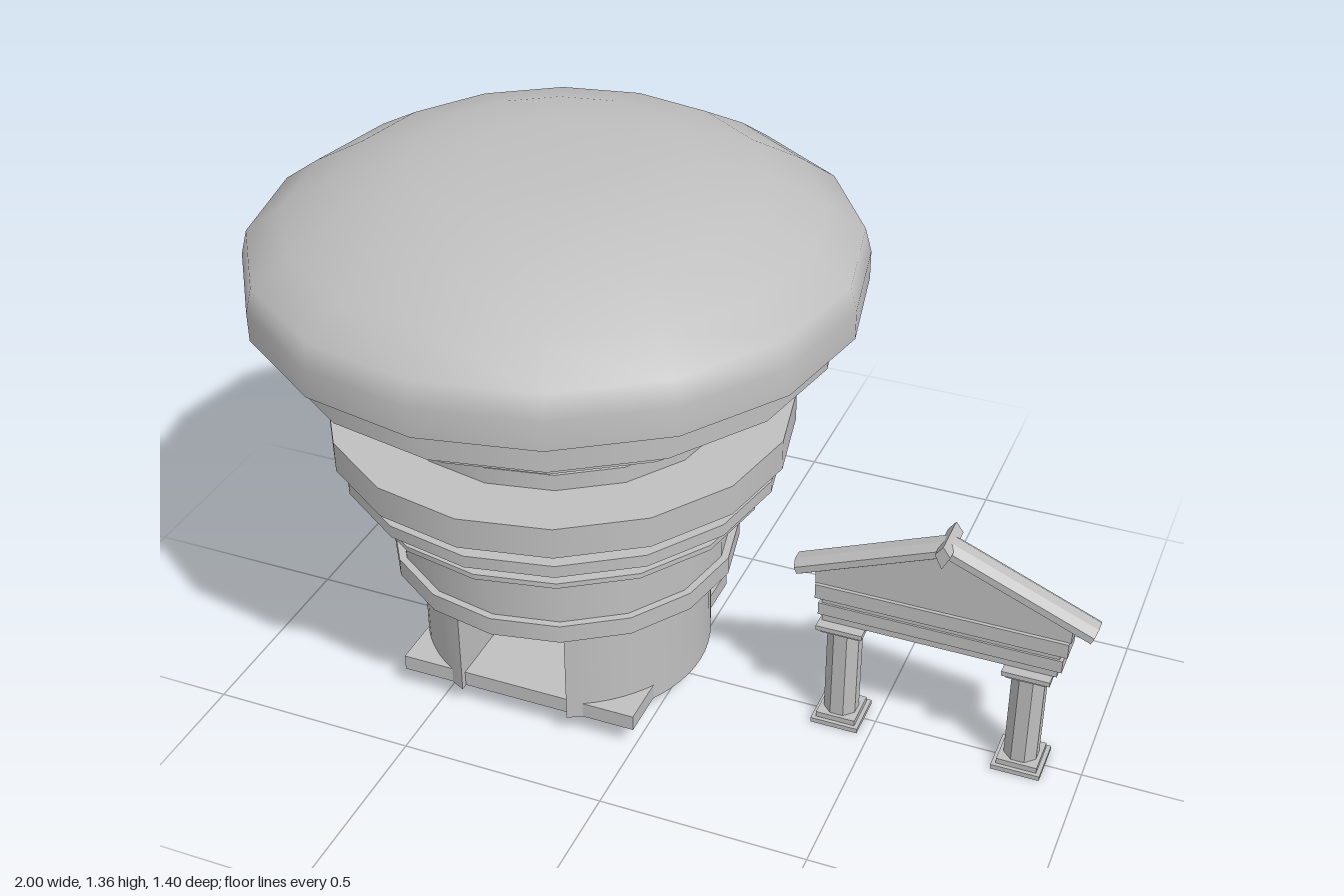
import * as THREE from 'three';
import { toCreasedNormals } from 'three/addons/utils/BufferGeometryUtils.js';

export function createModel() {
  const model = new THREE.Group();
  const stone = new THREE.MeshStandardMaterial({ color: 0xbfbfbf });
  stone.name = 'grey stone';

  function add(parent, name, geometry, x = 0, y = 0, z = 0) {
    const mesh = new THREE.Mesh(geometry, stone);
    mesh.name = name;
    mesh.position.set(x, y, z);
    parent.add(mesh);
    return mesh;
  }
  const box = (parent, name, w, y0, y1, d, x = 0) =>
    add(parent, name, new THREE.BoxGeometry(w, y1 - y0, d), x, (y0 + y1) / 2, 0);
  const polygon = pts => new THREE.Shape(pts.map(p => new THREE.Vector2(p[0], p[1])));
  function slab(shape, depth) {
    const g = new THREE.ExtrudeGeometry(shape, { depth, bevelEnabled: false, curveSegments: 12 });
    return g.translate(0, 0, -depth / 2);
  }

  // Round tower
  const tower = new THREE.Group();
  tower.name = 'tower';
  tower.position.x = -0.3;
  model.add(tower);

  // Stacked rings: radius, bottom, top
  const rings = [
    [0.418, 0.335, 0.38], [0.40, 0.38, 0.535], [0.48, 0.535, 0.548], [0.44, 0.548, 0.595],
    [0.52, 0.595, 0.625], [0.48, 0.625, 0.65], [0.44, 0.65, 0.665], [0.545, 0.665, 0.74],
    [0.40, 0.74, 0.78], [0.34, 0.78, 0.805], [0.40, 0.805, 0.845], [0.48, 0.845, 0.905],
    [0.58, 0.905, 0.95], [0.64, 0.95, 1.01], [0.53, 1.01, 1.04],
  ];
  rings.forEach(([r, y0, y1]) =>
    add(tower, 'towerRing', new THREE.CylinderGeometry(r, r, y1 - y0, 16), 0, (y0 + y1) / 2));

  // Dome with a flat underside
  const profile = [[0.7, 1.04], [0.7, 1.108], [0.685, 1.165], [0.6, 1.225],
    [0.475, 1.295], [0.32, 1.34], [0.16, 1.355], [0, 1.356]];
  add(tower, 'dome', new THREE.LatheGeometry(profile.map(p => new THREE.Vector2(p[0], p[1])), 16));
  const under = new THREE.CircleGeometry(0.7, 16);
  under.rotateX(Math.PI / 2);
  add(tower, 'domeUnderside', under, 0, 1.04);

  // Ground storey: two curved walls with a passage running front to back
  const half = Math.acos(0.137 / 0.35);
  for (const turn of [0, Math.PI]) {
    const shape = new THREE.Shape();
    shape.absarc(0, 0, 0.35, -half, half, false);
    shape.closePath();
    const g = slab(shape, 0.28);
    g.rotateX(-Math.PI / 2);
    add(tower, 'curvedWall', toCreasedNormals(g, 0.6), 0, 0.195).rotation.y = turn;
  }
  box(tower, 'floorSlab', 0.6, 0.056, 0.095, 0.61);

  // Free-standing gate with a pediment
  const gate = new THREE.Group();
  gate.name = 'gate';
  gate.position.x = 0.642;
  model.add(gate);

  for (const side of [-1, 1]) {
    const x = side * 0.221 - 0.008;
    box(gate, 'columnFoot', 0.116, 0, 0.012, 0.116, x);
    box(gate, 'columnBase', 0.096, 0.012, 0.026, 0.096, x);
    const shaft = new THREE.CylinderGeometry(0.042, 0.042, 0.244, 8).rotateY(Math.PI / 8);
    add(gate, 'columnShaft', toCreasedNormals(shaft, 0.3), x, 0.148);
    box(gate, 'columnNeck', 0.094, 0.268, 0.278, 0.094, x);
    box(gate, 'columnCapital', 0.112, 0.278, 0.29, 0.112, x);

    // Sloping roof beam, from the eave to the ridge
    const a = new THREE.Vector2(side * 0.347, 0.416);
    const b = new THREE.Vector2(0, 0.558);
    const d = b.clone().sub(a);
    const beam = new THREE.CylinderGeometry(0.037, 0.037, d.length(), 8).rotateY(Math.PI / 8);
    beam.scale(0.62, 1, 1);
    const mesh = add(gate, 'roofBeam', toCreasedNormals(beam, 0.3), (a.x + b.x) / 2, (a.y + b.y) / 2);
    mesh.rotation.z = Math.atan2(d.y, d.x) - Math.PI / 2;
  }

  // Stepped lintel
  box(gate, 'lintelLower', 0.556, 0.29, 0.308, 0.06);
  box(gate, 'lintelMiddle', 0.576, 0.308, 0.34, 0.068);
  box(gate, 'lintelGroove', 0.56, 0.34, 0.352, 0.058);
  box(gate, 'lintelUpper', 0.594, 0.352, 0.39, 0.068);

  // Triangular gable and ridge stone
  add(gate, 'gable', slab(polygon([[-0.3, 0.388], [0.3, 0.388], [0.3, 0.42], [0, 0.55], [-0.3, 0.42]]), 0.05));
  add(gate, 'ridgeStone', slab(polygon([[0, 0.53], [0.018, 0.565], [0, 0.59], [-0.018, 0.565]]), 0.106));

  return model;
}
